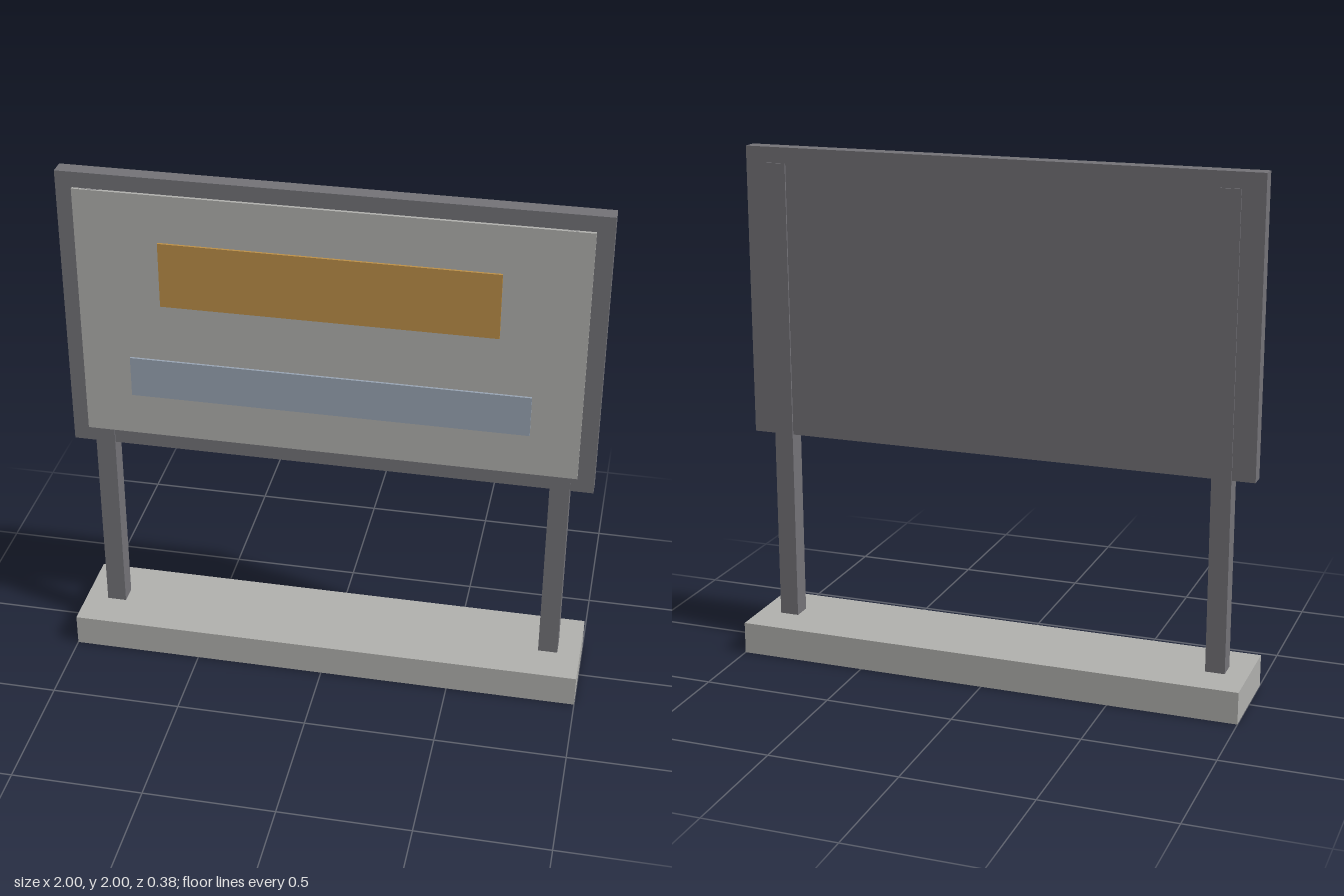
import * as THREE from 'three';

const material = (name, color) => {
  const m = new THREE.MeshStandardMaterial({ color });
  m.name = name;
  return m;
};

export function createModel() {
  const model = new THREE.Group();
  model.name = 'noticeBoard';

  const steel = material('dark steel', 0x737277);
  const pale = material('pale grey', 0xb0b0ad);
  const amber = material('amber', 0xbb8f48);
  const blue = material('dusty blue', 0x98a4b3);

  // Box given by its ranges in y and z, centred on x
  const slab = (name, mat, width, y0, y1, z0, z1, x = 0) => {
    const mesh = new THREE.Mesh(new THREE.BoxGeometry(width, y1 - y0, z1 - z0), mat);
    mesh.name = name;
    mesh.position.set(x, (y0 + y1) / 2, (z0 + z1) / 2);
    model.add(mesh);
  };

  // Plinth
  slab('base', pale, 2, 0, 0.125, -0.1875, 0.1875);

  // Posts run up through the board and stand slightly proud of it
  for (const side of [-1, 1]) {
    const name = side > 0 ? 'leftPost' : 'rightPost';
    slab(name, steel, 0.075, 0.125, 1.94, -0.0375, 0.0375, side * 0.875);
  }

  // Board with its raised face panel
  slab('board', steel, 2, 0.878, 2, -0.031, 0.031);
  slab('facePanel', pale, 1.875, 0.94, 1.94, 0.031, 0.043);

  // Coloured strips on the face
  slab('upperStrip', amber, 1.25, 1.5, 1.755, 0.043, 0.052);
  slab('lowerStrip', blue, 1.506, 1.11, 1.27, 0.043, 0.052);

  return model;
}
